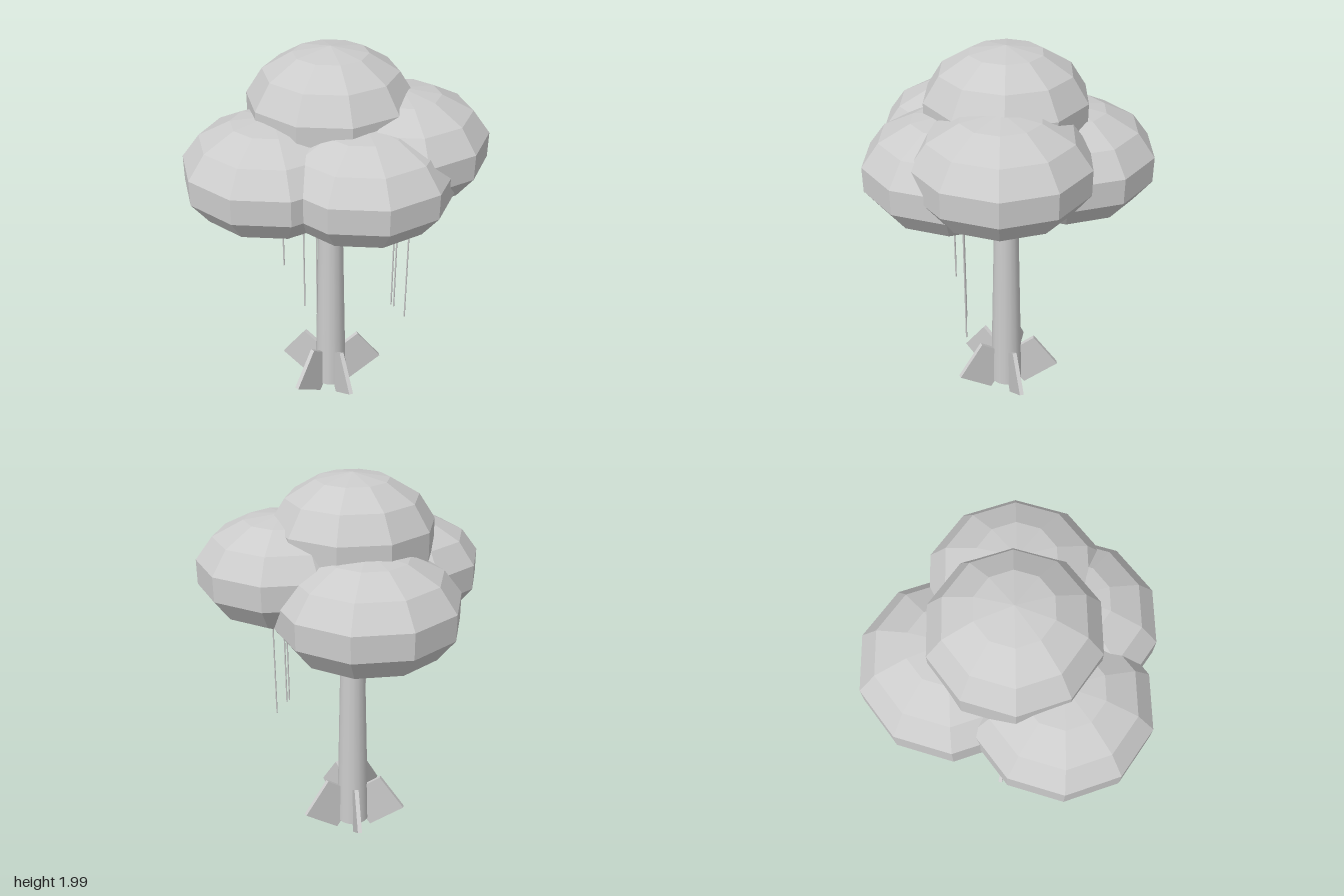
import * as THREE from 'three';

export function createModel() {
  const tree = new THREE.Group();
  tree.name = 'tree';
  const smooth = new THREE.MeshStandardMaterial({ color: 0xcccccc });
  const faceted = new THREE.MeshStandardMaterial({ color: 0xcccccc, flatShading: true });

  const add = (name, geometry, material, x, y, z) => {
    const mesh = new THREE.Mesh(geometry, material);
    mesh.name = name;
    mesh.position.set(x, y, z);
    tree.add(mesh);
    return mesh;
  };

  // Tapered trunk reaching up into the crown
  const base = 0.045, top = 1.4;
  add('trunk', new THREE.CylinderGeometry(0.055, 0.087, top - base, 16), smooth, 0, (base + top) / 2, 0);

  // Tilted slab roots around the foot of the trunk
  for (const degrees of [0, 81, 144, 216, 288]) {
    const a = THREE.MathUtils.degToRad(degrees);
    const root = add('buttressRoot', new THREE.BoxGeometry(0.228, 0.228, 0.022), faceted,
      0.1275 * Math.cos(a), 0.165, 0.1275 * Math.sin(a));
    root.rotation.set(0, -a, THREE.MathUtils.degToRad(36));
  }

  // Flattened low-poly foliage: x, y, z, horizontal radius, vertical radius
  const clumps = [
    ['topFoliage', 0, 1.7, 0, 0.407, 0.3],
    ['leftFoliage', 0.306, 1.542, 0.117, 0.431, 0.273],
    ['rightFoliage', -0.306, 1.465, 0.117, 0.431, 0.273],
    ['frontFoliage', 0.08, 1.465, 0.285, 0.436, 0.273],
    ['backFoliage', 0.057, 1.427, -0.28, 0.452, 0.284],
  ];
  for (const [name, x, y, z, r, h] of clumps) {
    const ball = new THREE.SphereGeometry(1, 10, 7).rotateY(Math.PI / 2).scale(r, h, r);
    add(name, ball, faceted, x, y, z);
  }

  // Thin hanging vines: x, z, height of the lower end
  const vines = [
    [-0.28, 0.18, 0.97], [-0.19, 0.228, 0.74], [-0.13, 0.243, 0.695],
    [0.247, 0.283, 0.71], [0.26, 0.288, 0.7], [0.315, 0.303, 0.635],
  ];
  for (const [x, z, low] of vines) {
    const length = 1.32 - low;
    add('hangingVine', new THREE.CylinderGeometry(0.004, 0.004, length, 5), smooth, x, low + length / 2, z);
  }

  return tree;
}
